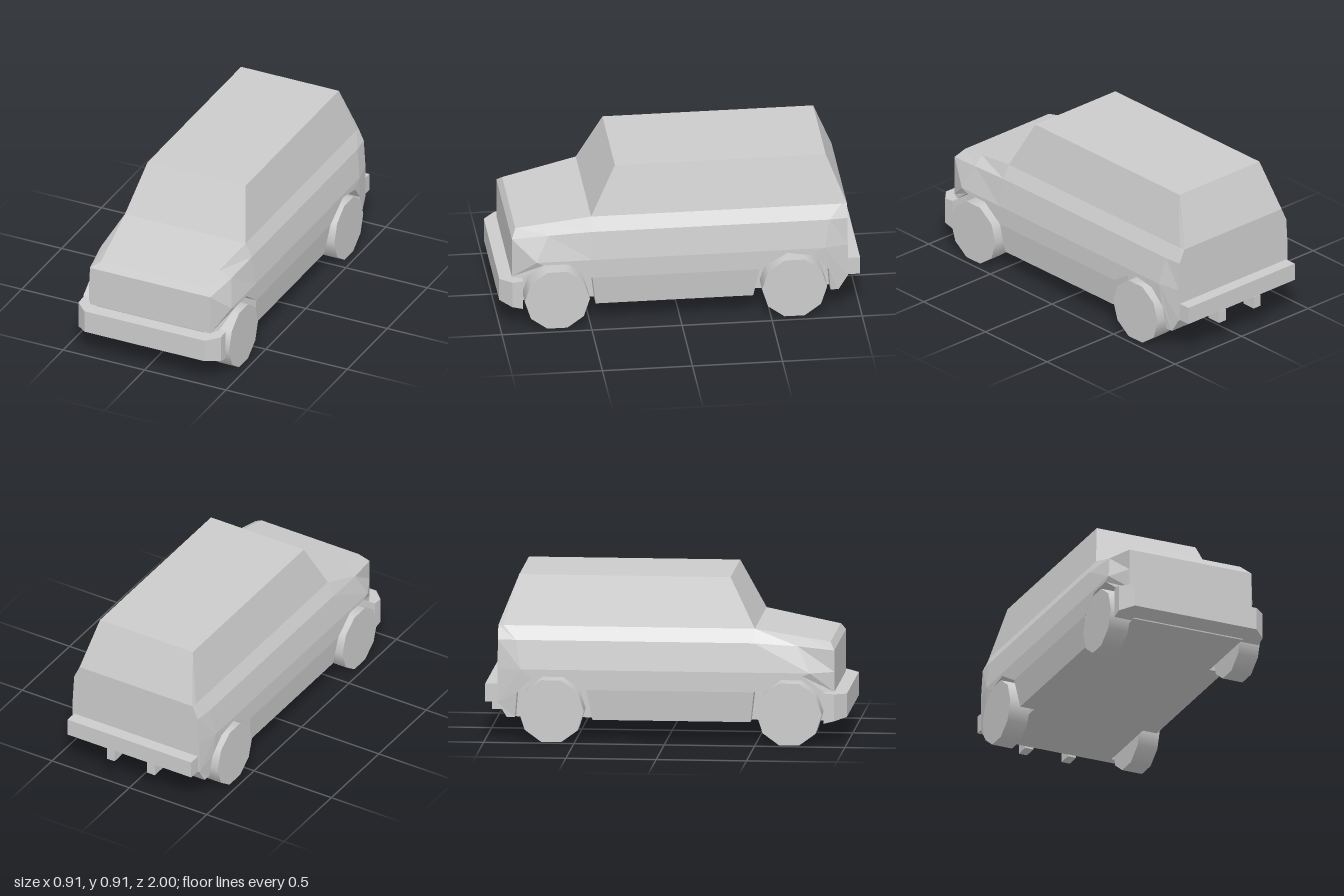
import * as THREE from 'three';

const lerp = THREE.MathUtils.lerp;
const material = new THREE.MeshStandardMaterial({ color: 0xcccccc, flatShading: true });
const wheelMaterial = new THREE.MeshStandardMaterial({ color: 0xcccccc });

// Half width of the lower body: tucked in at the sill and tapered at both ends
function halfWidth(y, z) {
  const base = y < 0.29 ? lerp(0.415, 0.437, Math.max(0, (y - 0.12) / 0.17)) : 0.437;
  if (z > 0.8) return lerp(base, 0.37, (z - 0.8) / 0.13);
  if (z < -0.8) return lerp(base, 0.41, (-z - 0.8) / 0.13);
  return base;
}

// Extrudes a [z, y] outline sideways from |x| = inner; side is +1 or -1
function sidewaysExtrude(outline, side, inner, depth) {
  const shape = new THREE.Shape(outline.map(([z, y]) => new THREE.Vector2(-side * z, y)));
  const geo = new THREE.ExtrudeGeometry(shape, { depth, bevelEnabled: false });
  geo.rotateY(side * Math.PI / 2);
  geo.translate(side * inner, 0, 0);
  return geo;
}

function sidePanel(outline, side) {
  const geo = sidewaysExtrude(outline, side, 0.33, 0.1);
  const p = geo.attributes.position;
  for (let i = 0; i < p.count; i++) {
    if (Math.abs(p.getX(i)) > 0.38) p.setX(i, side * halfWidth(p.getY(i), p.getZ(i)));
  }
  geo.computeVertexNormals();
  return geo;
}

// Lofts mirrored half sections, each [x, y, z] from waist up to the top
function loftMirrored(stations) {
  const verts = [];
  const tri = (...pts) => pts.forEach((q) => verts.push(...q));
  const flip = ([x, y, z]) => [-x, y, z];
  const rings = stations.map((s) => [...s.map(flip), ...[...s].reverse()]);
  for (let i = 0; i + 1 < rings.length; i++) {
    for (let j = 0; j + 1 < rings[i].length; j++) {
      const a = rings[i][j], b = rings[i][j + 1];
      const d = rings[i + 1][j], c = rings[i + 1][j + 1];
      tri(a, d, b);
      tri(b, d, c);
    }
  }
  // End caps
  const cap = (s, front) => {
    for (let j = 0; j + 1 < s.length; j++) {
      const a = flip(s[j]), b = s[j], c = s[j + 1], d = flip(s[j + 1]);
      if (front) { tri(a, b, c); tri(a, c, d); } else { tri(a, c, b); tri(a, d, c); }
    }
  };
  cap(stations[0], false);
  cap(stations[stations.length - 1], true);
  const geo = new THREE.BufferGeometry();
  geo.setAttribute('position', new THREE.Float32BufferAttribute(verts, 3));
  geo.computeVertexNormals();
  return geo;
}

export function createModel() {
  const car = new THREE.Group();
  car.name = 'car';
  const add = (name, geo, mat = material) => {
    const mesh = new THREE.Mesh(geo, mat);
    mesh.name = name;
    car.add(mesh);
    return mesh;
  };
  const box = (name, w, h, d, x, y, z) =>
    add(name, new THREE.BoxGeometry(w, h, d)).position.set(x, y, z);

  // Cabin and bonnet: waist, shoulder, belt line, roof
  add('upperBody', loftMirrored([
    [[0.41, 0.4, -0.93], [0.4, 0.56, -0.93], [0.365, 0.635, -0.93], [0.3, 0.91, -0.82]],
    [[0.437, 0.4, -0.8], [0.41, 0.56, -0.83], [0.37, 0.635, -0.9], [0.3, 0.91, -0.81]],
    [[0.437, 0.4, 0.49], [0.41, 0.56, 0.49], [0.37, 0.635, 0.49], [0.3, 0.91, 0.35]],
    [[0.437, 0.4, 0.49], [0.41, 0.56, 0.49], [0.37, 0.635, 0.49], [0.37, 0.635, 0.49]],
    [[0.437, 0.4, 0.8], [0.4, 0.545, 0.73], [0.335, 0.588, 0.75], [0.335, 0.588, 0.75]],
    [[0.37, 0.4, 0.93], [0.37, 0.52, 0.93], [0.315, 0.56, 0.905], [0.315, 0.56, 0.905]],
  ]));

  // Underbody between the wheel wells
  const core = [[-0.93, 0.4], [-0.93, 0.21], [-0.88, 0.13], [-0.83, 0.12],
    [0.9, 0.12], [0.93, 0.29], [0.93, 0.4]];
  add('underbody', sidewaysExtrude(core, 1, -0.33, 0.66));

  // Lower sides with wheel arches, and the sills between them
  const lowerSide = [[-0.93, 0.4], [-0.93, 0.21], [-0.88, 0.13], [-0.834, 0.13],
    [-0.823, 0.265], [-0.743, 0.356], [-0.593, 0.382], [-0.437, 0.29],
    [0.49, 0.29], [0.614, 0.382], [0.76, 0.382], [0.877, 0.29],
    [0.93, 0.29], [0.93, 0.4], [0.8, 0.4], [-0.8, 0.4]];
  const sill = [[-0.405, 0.12], [0.47, 0.12], [0.49, 0.29], [-0.437, 0.29]];
  for (const side of [1, -1]) {
    const label = side > 0 ? 'left' : 'right';
    add(label + 'LowerSide', sidePanel(lowerSide, side));
    add(label + 'Sill', sidePanel(sill, side));

    // Ten-sided wheels
    for (const [end, z] of [['Front', 0.687], ['Rear', -0.63]]) {
      const wheel = new THREE.CylinderGeometry(0.181, 0.181, 0.12, 10);
      wheel.rotateZ(Math.PI / 2);
      add(label + end + 'Wheel', wheel, wheelMaterial).position.set(side * 0.395, 0.172, z);
    }

    // Bracket below the rear bumper
    box(label + 'RearBracket', 0.05, 0.07, 0.085, side * 0.13, 0.165, -0.9425);
  }

  // Front bumper: chamfered corners, underside rising towards the front
  const plan = [[-0.437, 0.875], [0.437, 0.875], [0.437, 0.935], [0.37, 1], [-0.37, 1], [-0.437, 0.935]];
  const bumper = new THREE.ExtrudeGeometry(
    new THREE.Shape(plan.map(([x, z]) => new THREE.Vector2(x, -z))),
    { depth: 0.17, bevelEnabled: false });
  bumper.rotateX(-Math.PI / 2);
  const p = bumper.attributes.position;
  for (let i = 0; i < p.count; i++) {
    const t = (p.getZ(i) - 0.875) / 0.125;
    p.setY(i, p.getY(i) > 0.1 ? 0.29 - 0.01 * t : 0.12 + 0.03 * t);
  }
  bumper.computeVertexNormals();
  add('frontBumper', bumper);

  // Rear bumper
  box('rearBumper', 0.8, 0.1, 0.08, 0, 0.262, -0.96);

  return car;
}
